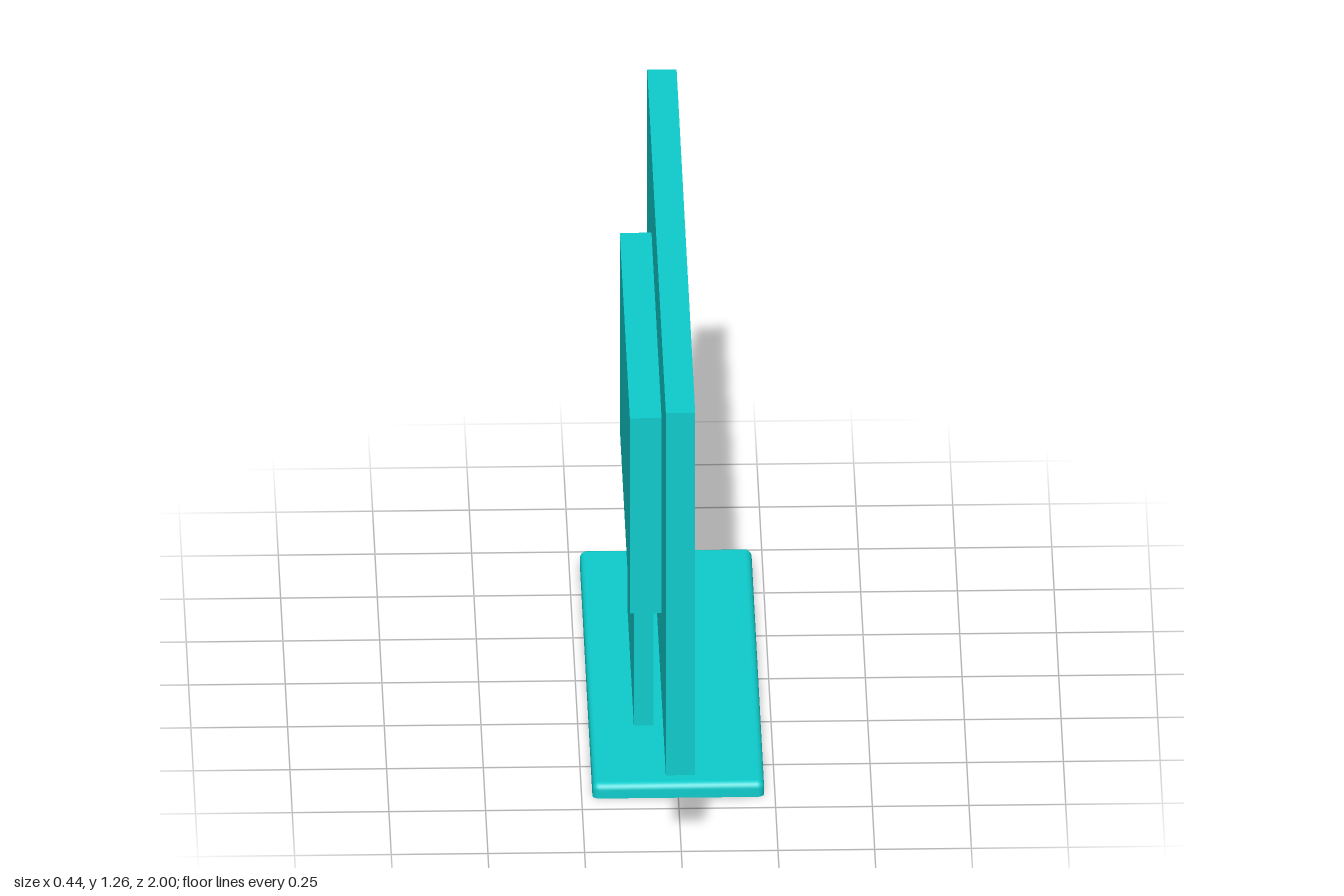
import * as THREE from 'three';

const teal = new THREE.MeshStandardMaterial({ color: 0x0ecccc });
const tealThin = new THREE.MeshStandardMaterial({ color: 0x0ecccc, side: THREE.DoubleSide });
const green = new THREE.MeshStandardMaterial({ color: 0x0ecc0e });

function add(group, name, geometry, material = teal) {
  const mesh = new THREE.Mesh(geometry, material);
  mesh.name = name;
  group.add(mesh);
  return mesh;
}

// Box given by its limits on each axis
function boxBetween(x0, x1, y0, y1, z0, z1) {
  return new THREE.BoxGeometry(x1 - x0, y1 - y0, z1 - z0)
    .translate((x0 + x1) / 2, (y0 + y1) / 2, (z0 + z1) / 2);
}

// Rectangle path in the plane of the screen
function rect(path, halfWidth, y0, y1) {
  path.moveTo(-halfWidth, y0);
  path.lineTo(halfWidth, y0);
  path.lineTo(halfWidth, y1);
  path.lineTo(-halfWidth, y1);
  path.closePath();
  return path;
}

// Thin shell, open below, with rounded top edge and corners
function shellGeometry(halfX, halfZ, height, radius) {
  const steps = 6;
  const rings = [{ inset: 0, y: 0 }];
  for (let i = 0; i <= steps; i++) {
    const a = (i / steps) * Math.PI / 2;
    rings.push({ inset: radius * (1 - Math.cos(a)), y: height - radius * (1 - Math.sin(a)) });
  }
  const positions = [];
  const index = [];
  const count = 4 * (steps + 1);
  const corners = [[1, 1], [-1, 1], [-1, -1], [1, -1]];
  rings.forEach(({ inset, y }) => {
    corners.forEach(([sx, sz], c) => {
      for (let i = 0; i <= steps; i++) {
        const a = (c + i / steps) * Math.PI / 2;
        const r = radius - inset;
        positions.push(sx * (halfX - radius) + r * Math.cos(a), y,
          sz * (halfZ - radius) + r * Math.sin(a));
      }
    });
  });
  for (let k = 0; k < rings.length - 1; k++) {
    for (let i = 0; i < count; i++) {
      const a = k * count + i;
      const b = k * count + (i + 1) % count;
      index.push(a, a + count, b, b, a + count, b + count);
    }
  }
  const geometry = new THREE.BufferGeometry();
  geometry.setAttribute('position', new THREE.Float32BufferAttribute(positions, 3));
  geometry.setIndex(index);
  geometry.computeVertexNormals();
  return geometry;
}

export function createModel() {
  const model = new THREE.Group();
  model.name = 'monitor';

  // Bezel: frame around the recessed screen, facing +x
  const outline = rect(new THREE.Shape(), 1, 0.22, 1.265);
  outline.holes.push(rect(new THREE.Path(), 0.925, 0.26, 1.23));
  const frame = new THREE.ExtrudeGeometry(outline, { depth: 0.076, bevelEnabled: false });
  frame.rotateY(Math.PI / 2).translate(-0.04, 0, 0);
  add(model, 'bezel', frame);
  add(model, 'backPanel', boxBetween(-0.04, 0, 0.26, 1.23, -0.925, 0.925));

  // Screen, set back inside the bezel
  const screen = new THREE.PlaneGeometry(1.85, 0.97).rotateY(Math.PI / 2);
  add(model, 'screen', screen.translate(0.003, 0.745, 0), green);

  // Rear housing and stand
  add(model, 'rearHousing', boxBetween(-0.122, -0.04, 0.46, 1.023, -0.54, 0.54));
  add(model, 'standNeck', boxBetween(-0.107, -0.056, 0.004, 0.46, -0.345, 0.345));

  // Base: hollow tray with a flat top
  const base = new THREE.Group();
  base.name = 'base';
  const [halfX, halfZ, height, radius] = [0.222, 0.687, 0.04, 0.018];
  add(base, 'baseRim', shellGeometry(halfX, halfZ, height, radius), tealThin);
  const top = new THREE.PlaneGeometry(2 * (halfX - radius), 2 * (halfZ - radius));
  add(base, 'baseTop', top.rotateX(-Math.PI / 2).translate(0, height, 0), tealThin);
  model.add(base);

  return model;
}
